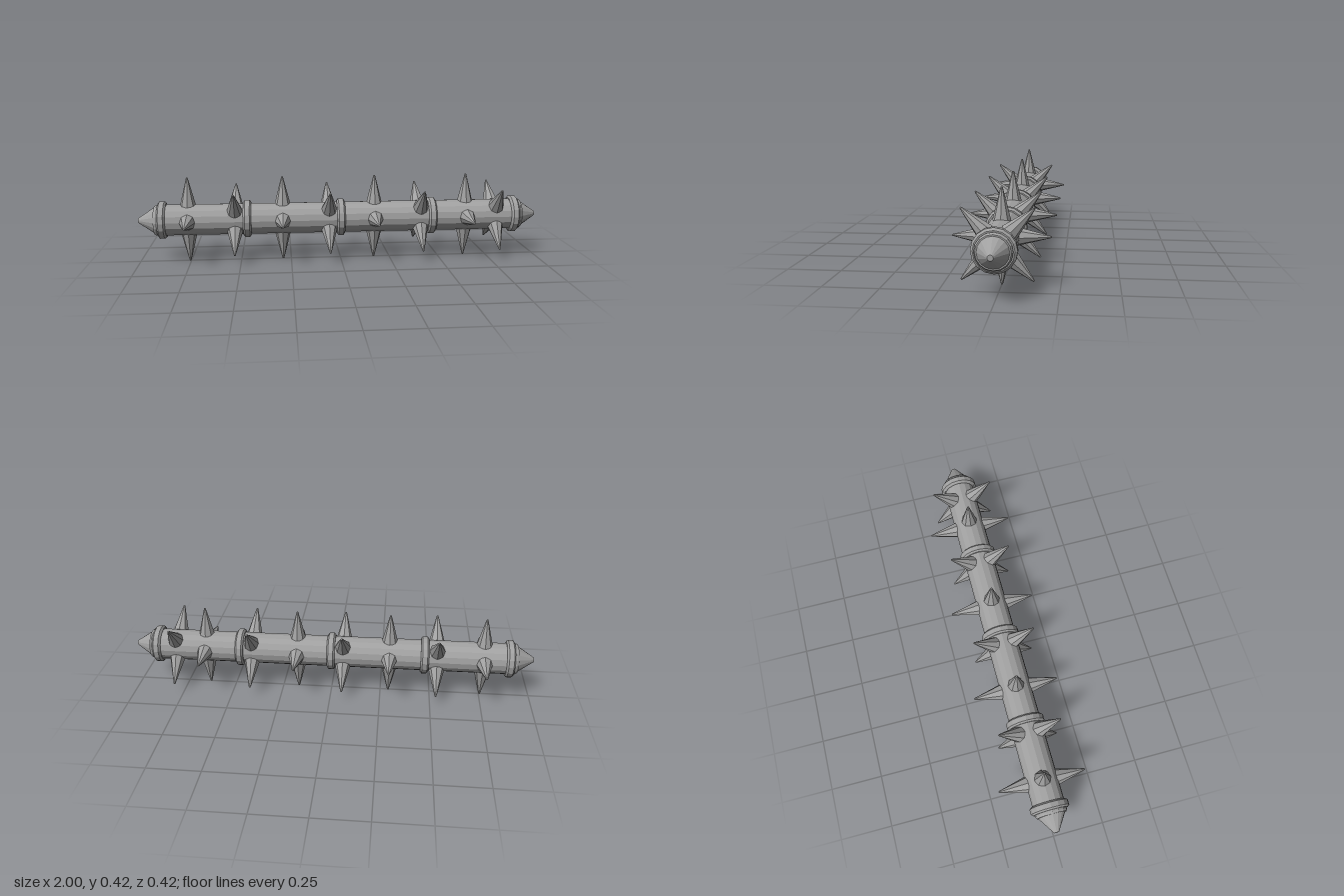
import * as THREE from 'three';

const AXIS_Y = 0.21;
const SIDES = 16;

export function createModel() {
  const group = new THREE.Group();
  group.name = 'spikedRod';
  const metal = new THREE.MeshStandardMaterial({ color: 0xa0a0a0, flatShading: true });
  metal.name = 'grey metal';

  // Everything is built around the origin, then raised to the axis height
  const rod = new THREE.Group();
  rod.name = 'rod';
  rod.position.y = AXIS_Y;
  group.add(rod);

  // Turned part lying along x; profile points are [radius, x], from low x to high x
  function turned(name, profile, x = 0) {
    const points = profile.map(([r, a]) => new THREE.Vector2(r, a));
    const geometry = new THREE.LatheGeometry(points, SIDES).rotateZ(-Math.PI / 2);
    const mesh = new THREE.Mesh(geometry, metal);
    mesh.name = name;
    mesh.position.x = x;
    rod.add(mesh);
    return mesh;
  }

  // Shaft with chamfered ends
  turned('shaft', [[0, -0.92], [0.071, -0.92], [0.077, -0.91], [0.077, 0.91], [0.071, 0.92], [0, 0.92]]);

  // Blunt pointed caps
  for (const side of [-1, 1]) {
    const cap = turned('endCap', [[0, 0], [0.065, 0], [0.012, 0.08], [0, 0.08]], side * 0.92);
    if (side < 0) cap.rotation.y = Math.PI;
  }

  // Raised bevelled bands
  const band = [[0.07, -0.02], [0.083, -0.02], [0.093, -0.012], [0.093, 0.012], [0.083, 0.02], [0.07, 0.02]];
  for (const x of [-0.882, -0.465, 0, 0.46, 0.882]) turned('band', band, x);

  // Rings of four spikes, alternately upright and diagonal
  const spike = new THREE.CylinderGeometry(0.004, 0.04, 0.142, 8).translate(0, 0.139, 0);
  const rings = [-0.755, -0.525, -0.29, -0.06, 0.17, 0.4, 0.635, 0.785];
  rings.forEach((x, i) => {
    const ring = new THREE.Group();
    ring.name = 'spikeRing';
    ring.position.x = x;
    for (let k = 0; k < 4; k++) {
      const mesh = new THREE.Mesh(spike, metal);
      mesh.name = 'spike';
      mesh.rotation.x = (k + (i % 2) / 2) * Math.PI / 2;
      ring.add(mesh);
    }
    rod.add(ring);
  });

  return group;
}
